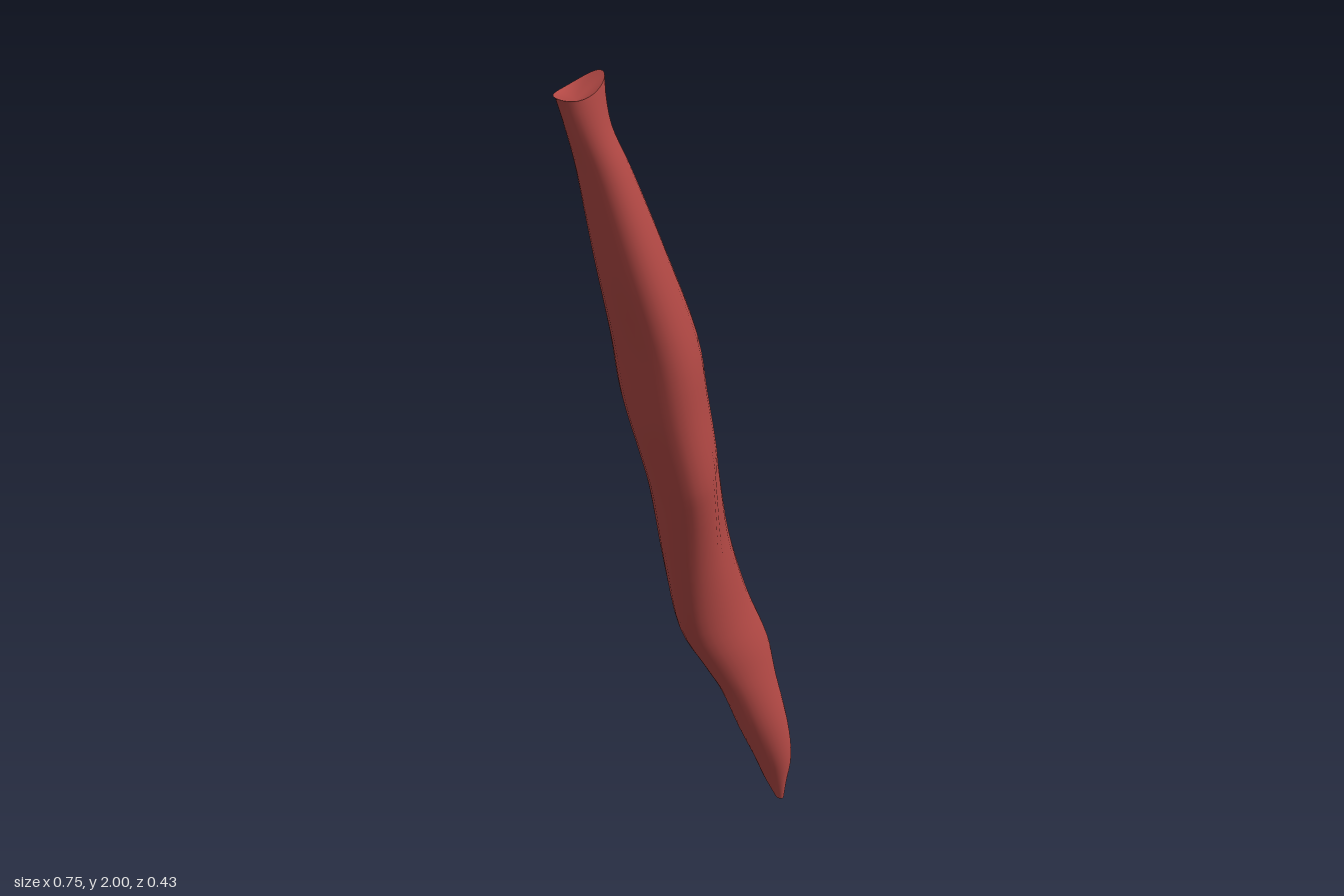
import * as THREE from 'three';

// Cross-sections, bottom to top: y, xMin, xMax, zMin, zMax, skew, frontal dent, end groove
const SECTIONS = [
  [0.00, 0.347, 0.363, -0.167, -0.145, 0.0, 0, 0.0],
  [0.05, 0.328, 0.371, -0.203, -0.134, 0.0, 0, 0.3],
  [0.12, 0.298, 0.382, -0.212, -0.120, 0.0, 0, 0.45],
  [0.22, 0.250, 0.371, -0.215, -0.108, -0.1, 0, 0.25],
  [0.35, 0.190, 0.338, -0.211, -0.095, -0.3, 0, 0.05],
  [0.45, 0.130, 0.315, -0.207, -0.078, -0.45, 0, 0],
  [0.60, 0.040, 0.250, -0.195, -0.035, -0.57, 0.03, 0],
  [0.80, -0.030, 0.170, -0.170, 0.040, -0.58, 0.09, 0],
  [1.00, -0.092, 0.102, -0.137, 0.122, -0.55, 0.11, 0],
  [1.10, -0.125, 0.070, -0.122, 0.154, -0.5, 0.08, 0],
  [1.25, -0.173, 0.022, -0.096, 0.180, -0.42, 0.05, 0],
  [1.40, -0.210, -0.030, -0.052, 0.202, -0.35, 0.02, 0],
  [1.60, -0.270, -0.125, 0.018, 0.218, -0.3, 0, 0],
  [1.80, -0.325, -0.222, 0.093, 0.219, -0.2, 0, 0],
  [1.90, -0.357, -0.272, 0.128, 0.215, -0.1, 0, 0],
  [1.98, -0.384, -0.288, 0.145, 0.211, 0.0, 0, 0],
];
const SIDES = 32;
const STEPS = 4;

// Smooth interpolation between the section rows
function sectionAt(u) {
  const last = SECTIONS.length - 1;
  const i = Math.min(Math.floor(u), last - 1);
  const f = u - i;
  const row = (k) => SECTIONS[Math.max(0, Math.min(last, k))];
  return row(i).map((p1, k) => {
    const p0 = row(i - 1)[k], p2 = row(i + 1)[k], p3 = row(i + 2)[k];
    return p1 + 0.5 * f * (p2 - p0 + f * (2 * p0 - 5 * p1 + 4 * p2 - p3 + f * (3 * (p1 - p2) + p3 - p0)));
  });
}

// Skewed ellipse that fills the section's bounds, with optional hollows
function ring(u) {
  const [y, x0, x1, z0, z1, skew, dent, groove] = sectionAt(u);
  const rim = u === SECTIONS.length - 1;
  const points = [];
  for (let j = 0; j < SIDES; j++) {
    const t = (j / SIDES) * Math.PI * 2;
    const near = (angle, width) => {
      const d = Math.atan2(Math.sin(t - angle), Math.cos(t - angle));
      return Math.exp(-((d / width) ** 2));
    };
    const s = 1 - dent * near(1.1, 0.4);
    const cx = Math.cos(t) * s - groove * near(0, 0.5);
    const cz = (skew * Math.cos(t) + Math.sqrt(1 - skew * skew) * Math.sin(t)) * s;
    points.push([
      (x0 + x1) / 2 + ((x1 - x0) / 2) * cx,
      y + (rim ? 0.014 * Math.cos(t) + 0.006 * Math.cos(2 * t) : 0),
      (z0 + z1) / 2 + ((z1 - z0) / 2) * cz,
    ]);
  }
  return points;
}

function makeGeometry(points, index) {
  const g = new THREE.BufferGeometry();
  g.setAttribute('position', new THREE.Float32BufferAttribute(points.flat(), 3));
  g.setIndex(index);
  g.computeVertexNormals();
  return g;
}

// Lofted surface through all the rings
function bellyGeometry() {
  const points = [], index = [];
  const rows = (SECTIONS.length - 1) * STEPS;
  for (let i = 0; i <= rows; i++) points.push(...ring(i / STEPS));
  for (let i = 0; i < rows; i++) {
    for (let j = 0; j < SIDES; j++) {
      const a = i * SIDES + j, b = i * SIDES + ((j + 1) % SIDES);
      index.push(a, a + SIDES, b, b, a + SIDES, b + SIDES);
    }
  }
  return makeGeometry(points, index);
}

// Fan that closes an end ring
function capGeometry(u, centre, up) {
  const points = [...ring(u), centre], index = [];
  for (let j = 0; j < SIDES; j++) {
    const k = (j + 1) % SIDES;
    index.push(SIDES, up ? k : j, up ? j : k);
  }
  return makeGeometry(points, index);
}

export function createModel() {
  const group = new THREE.Group();
  group.name = 'muscle';
  const red = new THREE.MeshStandardMaterial({ color: 0xb64a46 });
  red.name = 'muscle red';
  const add = (name, geometry) => {
    const mesh = new THREE.Mesh(geometry, red);
    mesh.name = name;
    group.add(mesh);
  };
  add('muscleBelly', bellyGeometry());
  // Hollow upper end and pointed lower end
  add('upperEnd', capGeometry(SECTIONS.length - 1, [-0.343, 1.958, 0.178], true));
  add('lowerEnd', capGeometry(0, [0.355, 0, -0.156], false));
  return group;
}
